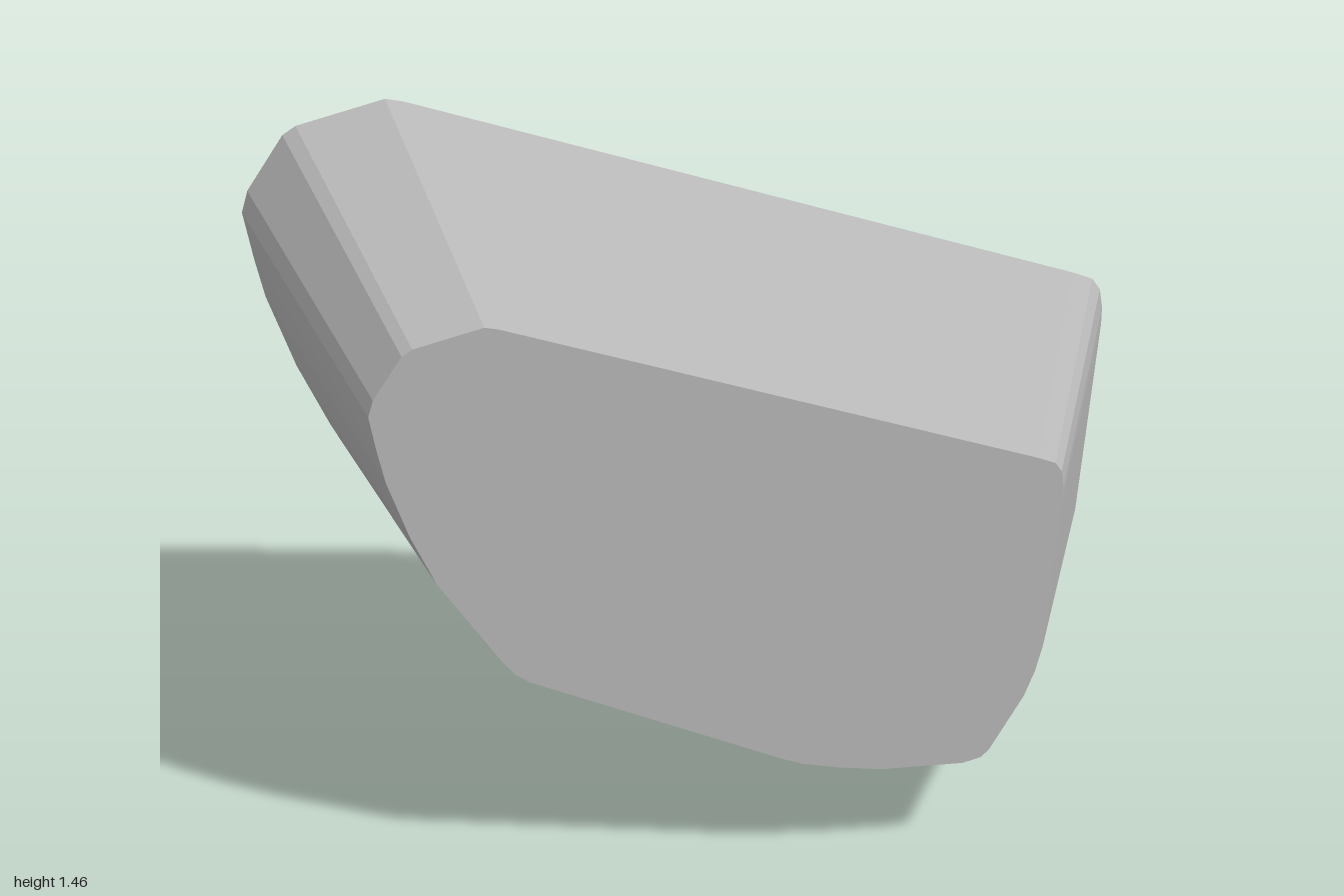
import * as THREE from 'three';

// Outline of the large back face, clockwise from the upper left corner
const outline = [
  [-0.67, 1.46], [-0.63, 1.453], [0.92, 0.99], [0.97, 0.972], [0.99, 0.945], [0.998, 0.90], [0.998, 0.86],
  [0.96, 0.38], [0.94, 0.30], [0.91, 0.22], [0.81, 0.045], [0.785, 0.02], [0.73, 0.004],
  [0.48, 0], [0.35, 0.015], [0.24, 0.035], [0.18, 0.055],
  [-0.57, 0.36], [-0.61, 0.385], [-0.645, 0.425],
  [-0.83, 0.69], [-0.90, 0.84], [-0.96, 1.01], [-0.98, 1.10],
  [-1, 1.21], [-0.985, 1.26], [-0.90, 1.385], [-0.87, 1.405],
];
const halfDepth = 0.475;
const taper = 0.7;

export function createModel() {
  const group = new THREE.Group();
  group.name = 'taperedBlock';

  const stone = new THREE.MeshStandardMaterial({ color: 0xb8b8b8, flatShading: true });
  stone.name = 'light grey';

  const shape = new THREE.Shape(outline.map(([x, y]) => new THREE.Vector2(x, y)));
  const geometry = new THREE.ExtrudeGeometry(shape, { depth: 2 * halfDepth, bevelEnabled: false });
  geometry.translate(0, 0, -halfDepth);

  // Shrink the front face so the sides taper forward
  const p = geometry.attributes.position;
  for (let i = 0; i < p.count; i++) {
    if (p.getZ(i) > 0) p.setXY(i, p.getX(i) * taper - 0.035, p.getY(i) * taper + 0.22);
  }
  geometry.computeVertexNormals();

  const body = new THREE.Mesh(geometry, stone);
  body.name = 'body';
  group.add(body);
  return group;
}
